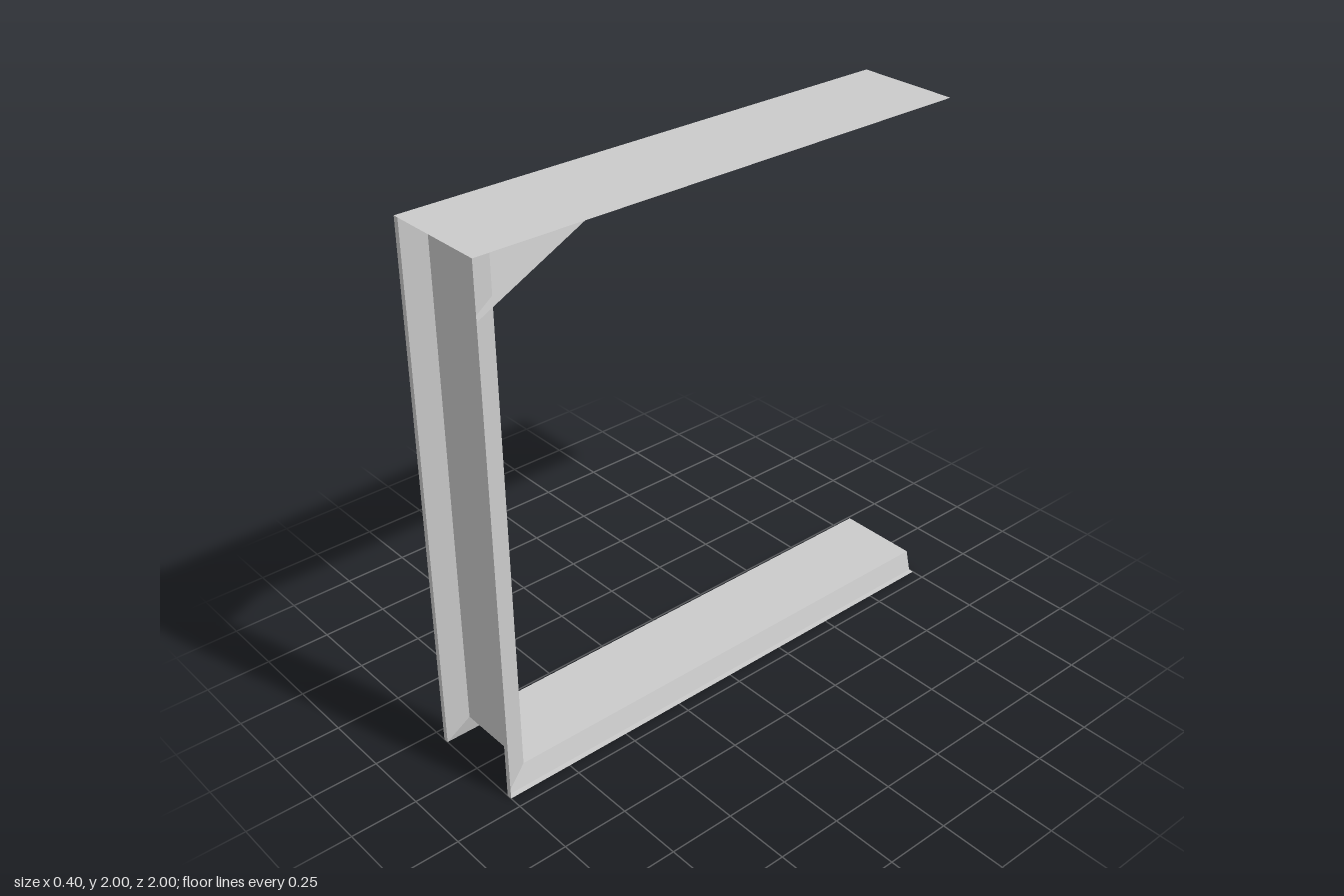
import * as THREE from 'three';

const material = new THREE.MeshStandardMaterial({
  color: 0xcccccc, flatShading: true, side: THREE.DoubleSide,
});

// Folded sheet: joins equal-length cross-sections with quads
function loft(name, sections) {
  const n = sections[0].length;
  const index = [];
  for (let s = 0; s < sections.length - 1; s++) {
    for (let i = 0; i < n - 1; i++) {
      const a = s * n + i, b = a + n;
      index.push(a, b, a + 1, a + 1, b, b + 1);
    }
  }
  const geometry = new THREE.BufferGeometry();
  geometry.setAttribute('position', new THREE.Float32BufferAttribute(sections.flat(2), 3));
  geometry.setIndex(index);
  geometry.computeVertexNormals();
  const mesh = new THREE.Mesh(geometry, material);
  mesh.name = name;
  return mesh;
}

export function createModel() {
  const group = new THREE.Group();
  group.name = 'channelFrame';

  // Hat profile as [x, depth]: lip, sloping wall, web, sloping wall, lip
  const deep = 0.086, low = 0.08;
  const profile = [[-0.2, 0], [-0.18, 0], [-0.16, 1], [0.16, 1], [0.18, 0], [0.2, 0]];

  // The post has a slightly slanted top; post and base meet in a mitre
  const top = profile.map(([x, d]) => [x, 2 - 0.015 * d, 1 - deep * d]);
  const mitre = profile.map(([x, d]) => [x, low * d, 1 - deep * d]);
  const end = profile.map(([x, d]) => [x, low * d, -1]);
  group.add(loft('postChannel', [top, mitre]));
  group.add(loft('baseChannel', [mitre, end]));

  // Flat top sheet
  group.add(loft('topPlate', [1, -1].map((z) => [[-0.2, 2, z], [0.2, 2, z]])));

  // Sloping brace sheet, notched around the post channel
  const outline = [[-0.2, 0.6], [0.2, 0.6], [0.2, 1], [0.18, 1], [0.16, 1 - deep],
    [-0.16, 1 - deep], [-0.18, 1], [-0.2, 1]];
  const brace = new THREE.ShapeGeometry(
    new THREE.Shape(outline.map(([x, z]) => new THREE.Vector2(x, z))));
  const p = brace.attributes.position;
  for (let i = 0; i < p.count; i++) {
    const z = p.getY(i);
    p.setXYZ(i, p.getX(i), 2 - 0.5 * (z - 0.6), z);
  }
  brace.computeVertexNormals();
  const braceMesh = new THREE.Mesh(brace, material);
  braceMesh.name = 'cornerBrace';
  group.add(braceMesh);

  return group;
}
